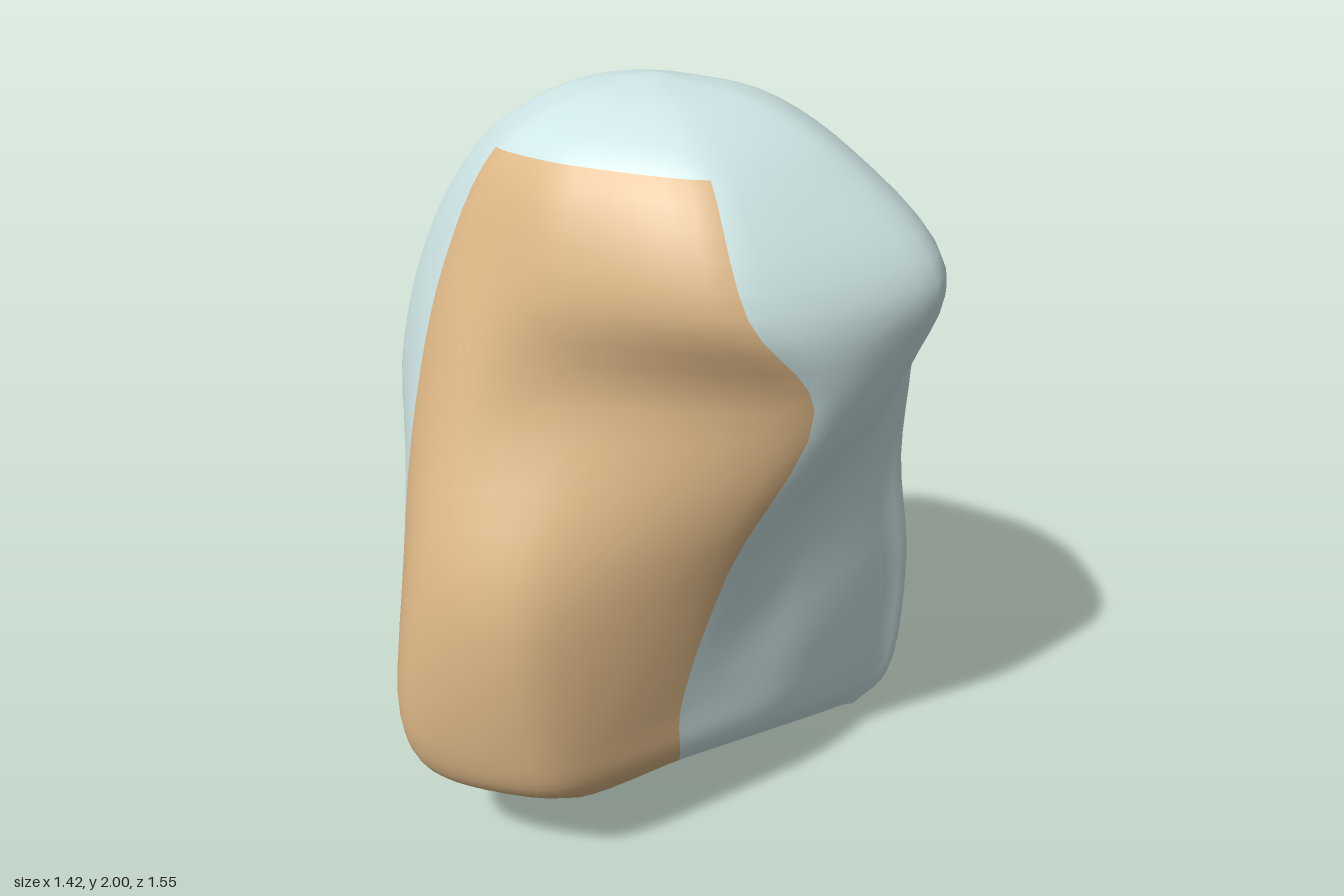
import * as THREE from 'three';

// Ribs, counter-clockwise seen from above:
// crown angle in degrees, shoulder x y z, waist x z, foot x z
const ribs = [
  [133, -.45, 1.25, .53, -.46, .62, -.47, .67], // front left edge
  [117, -.28, 1.28, .62, -.31, .75, -.33, .76], // front ridge
  [97, -.01, 1.33, .55, -.04, .72, -.03, .70], // front middle
  [60, .51, 1.35, .37, .30, .36, .19, .39], // front right edge
  [0, .63, 1.34, .07, .39, .02, .37, .05], // right side
  [-36, .55, 1.27, -.27, .47, -.34, .48, -.42], // right rear
  [-56, .49, 1.26, -.36, .47, -.45, .48, -.56], // back right edge
  [-96, 0, 1.42, -.42, 0, -.46, 0, -.70], // back middle
  [-120, -.28, 1.37, -.31, -.25, -.50, -.22, -.77], // back bulge
  [-145, -.50, 1.27, -.15, -.50, -.36, -.47, -.60], // back left
  [-175, -.66, 1.14, .02, -.64, -.10, -.53, -.36], // back left edge
  [165, -.66, 1.22, .25, -.70, .11, -.54, .24], // left side
];
const APEX = new THREE.Vector3(-.02, 2, .08);
const ROW_STEPS = 5, COL_STEPS = 6;
const ROWS = 8 * ROW_STEPS, COLS = ribs.length * COL_STEPS;

// Point on a slightly squared ellipse that rises toward the front
function crownPoint(degrees, x, y, z, rx, rz, rise) {
  const a = THREE.MathUtils.degToRad(degrees);
  const soften = v => Math.sign(v) * Math.abs(v) ** .92;
  return new THREE.Vector3(
    x + rx * soften(Math.cos(a)), y + rise * Math.sin(a), z + rz * soften(Math.sin(a)));
}

// Rib curve: rounded crown, body points, then a rounded heel above the sloping base
function ribCurve([angle, sx, sy, sz, wx, wz, fx, fz]) {
  const top = crownPoint(angle, .03, 1.83, .08, .45, .38, .05);
  const brow = crownPoint(angle, .06, 1.59, .09, .64, .48, .02);
  const crown = APEX.clone().lerp(top, .55);
  crown.y = 2 - (2 - top.y) * .27;
  const base = new THREE.Vector3(fx * .8, 0, fz * .8);
  base.y = .22 - .3 * Math.max(0, base.x - base.z - .1);
  return new THREE.CatmullRomCurve3([
    APEX, crown, top, brow,
    new THREE.Vector3(sx, sy, sz),
    new THREE.Vector3(wx, .86, wz),
    new THREE.Vector3(fx, .45, fz),
    new THREE.Vector3(fx * .94, base.y + .08, fz * .94),
    base,
  ], false, 'centripetal');
}

export function createModel() {
  const group = new THREE.Group();
  const curves = ribs.map(ribCurve);

  // Smooth skin: closed curves through the ribs at each height
  const verts = [];
  for (let r = 0; r <= ROWS; r++) {
    const pts = curves.map(c => c.getPoint(r / ROWS));
    const ring = new THREE.CatmullRomCurve3(pts, true, 'catmullrom', .4);
    for (let c = 0; c < COLS; c++) {
      const p = r === 0 ? APEX : ring.getPoint(c / COLS);
      verts.push(p.x, p.y, p.z);
    }
  }
  const faces = { shell: [], frontPatch: [], backPatch: [] };
  const all = [];
  for (let r = 0; r < ROWS; r++) {
    for (let c = 0; c < COLS; c++) {
      const col = c / COL_STEPS, row = r / ROW_STEPS;
      let part = 'shell';
      if (col < 3 && row >= 2) part = 'frontPatch';
      if (col >= 6 && col < 10 && row >= 4) part = 'backPatch';
      const a = r * COLS + c, b = r * COLS + (c + 1) % COLS;
      const d = a + COLS, e = b + COLS;
      const tris = r === 0 ? [a, d, e] : [a, d, b, b, d, e];
      faces[part].push(...tris);
      all.push(...tris);
    }
  }
  const skin = new THREE.BufferGeometry();
  skin.setAttribute('position', new THREE.Float32BufferAttribute(verts, 3));
  skin.setIndex(all);
  skin.computeVertexNormals();
  for (let c = 0; c < COLS; c++) skin.attributes.normal.setXYZ(c, 0, 1, 0);

  const pale = new THREE.MeshStandardMaterial({ color: 0xd0e7e7 });
  const tan = new THREE.MeshStandardMaterial({ color: 0xdeb887 });
  const add = (name, geometry, material) => {
    const mesh = new THREE.Mesh(geometry, material);
    mesh.name = name;
    group.add(mesh);
  };

  // Coloured regions share the skin's normals so the surface stays smooth
  for (const name in faces) {
    const geo = skin.clone();
    geo.setIndex(faces[name]);
    add(name, geo.toNonIndexed(), name === 'shell' ? pale : tan);
  }

  // Sloping underside, a fan from the middle to the lowest ring
  const rim = verts.slice(ROWS * COLS * 3);
  const fan = [];
  for (let c = 0; c < COLS; c++) fan.push(COLS, (c + 1) % COLS, c);
  const base = new THREE.BufferGeometry();
  base.setAttribute('position', new THREE.Float32BufferAttribute([...rim, -.08, .17, .02], 3));
  base.setIndex(fan);
  base.computeVertexNormals();
  add('underside', base, pale);

  return group;
}
